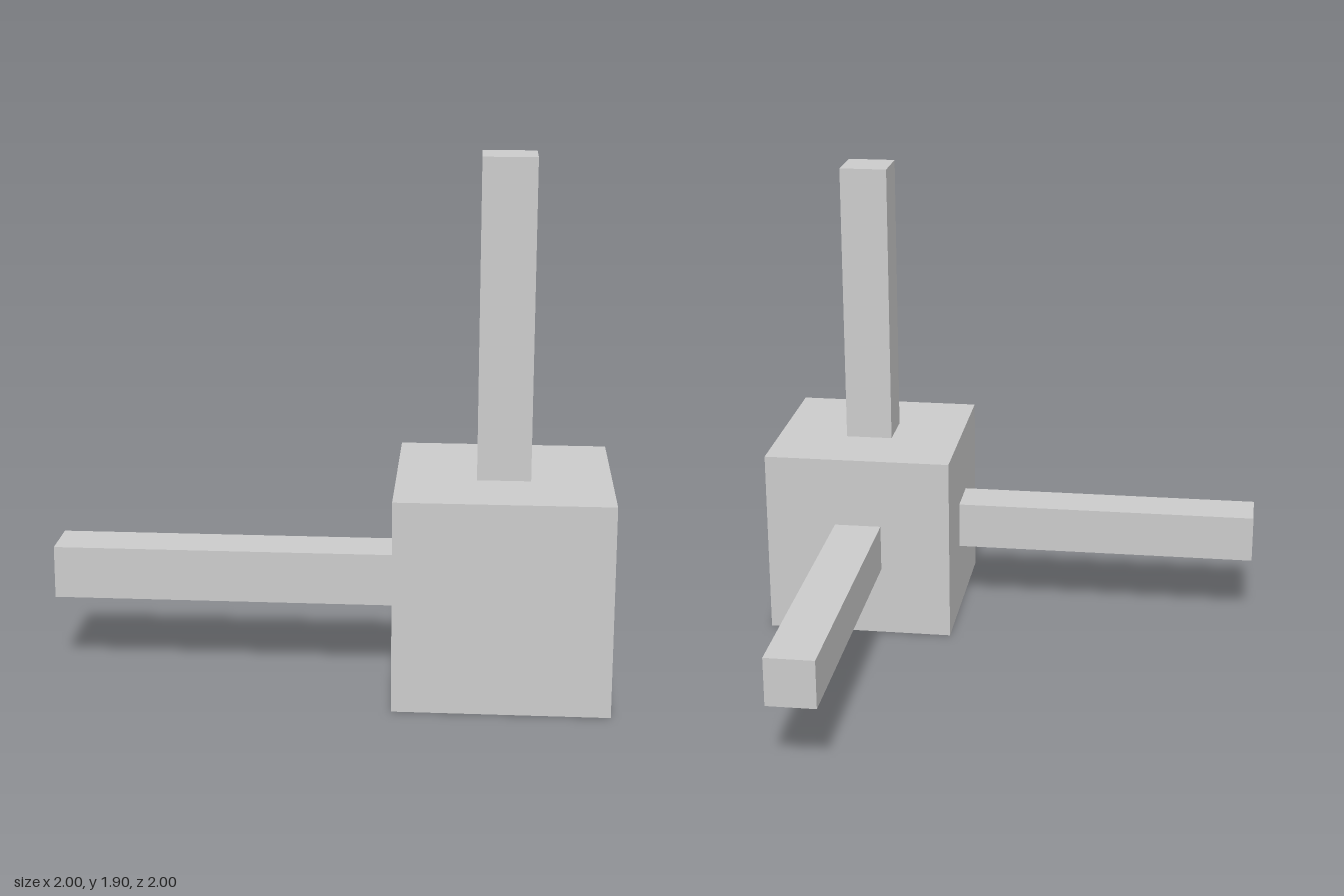
import * as THREE from 'three';

export function createModel() {
  const model = new THREE.Group();
  const material = new THREE.MeshStandardMaterial({ color: 0xcccccc, flatShading: true });

  const unit = 2 / 10.5;       // bar thickness
  const cube = 4 * unit;       // hub edge
  const c = 1 - cube / 2;      // hub centre in x and z
  const h = cube / 2;          // hub centre height
  const embed = 0.02;          // bars sink slightly into the hub

  function box(name, size, position) {
    const mesh = new THREE.Mesh(new THREE.BoxGeometry(...size), material);
    mesh.name = name;
    mesh.position.set(...position);
    model.add(mesh);
  }

  // Central cube
  box('hubCube', [cube, cube, cube], [c, h, c]);

  // Upright bar
  const top = 10 * unit;
  const upright = top - cube + embed;
  box('uprightBar', [unit, upright, unit], [c, top - upright / 2, c]);

  // Horizontal bars, reaching to the right and to the back
  const reach = 6.5 * unit + embed;
  box('rightBar', [reach, unit, unit], [-1 + reach / 2, h, c]);
  box('backBar', [unit, unit, reach], [c, h, -1 + reach / 2]);

  return model;
}
